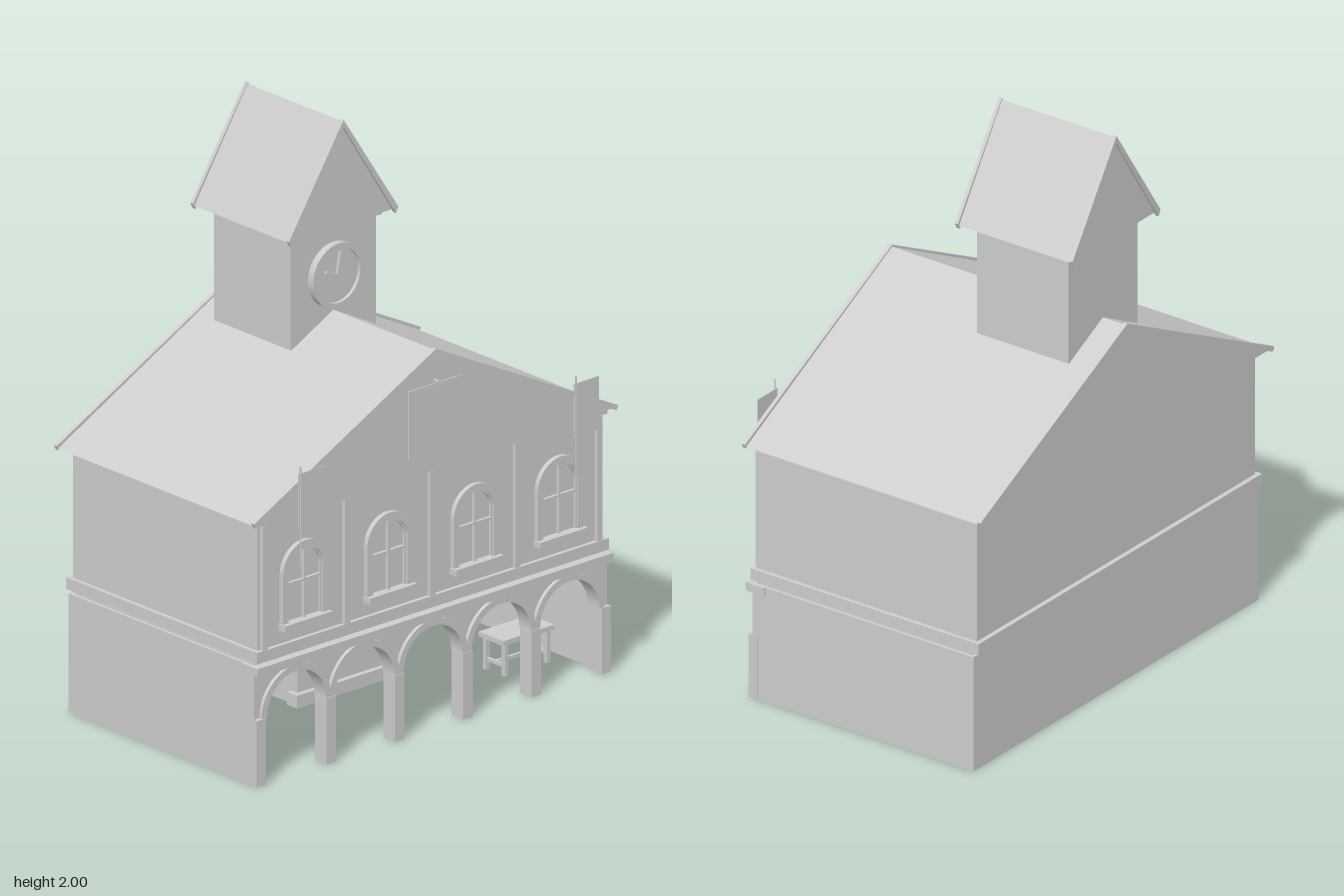
import * as THREE from 'three';

const stone = new THREE.MeshStandardMaterial({ color: 0xcccccc, side: THREE.DoubleSide });
stone.name = 'plain grey stone';

export function createModel() {
  const model = new THREE.Group();
  model.name = 'townHall';

  const add = (name, geometry, parent = model) => {
    const mesh = new THREE.Mesh(geometry, stone);
    mesh.name = name;
    parent.add(mesh);
    return mesh;
  };
  // Box given by its limits on each axis
  const box = (name, x0, x1, y0, y1, z0, z1, parent = model) => {
    const mesh = add(name, new THREE.BoxGeometry(x1 - x0, y1 - y0, z1 - z0), parent);
    mesh.position.set((x0 + x1) / 2, (y0 + y1) / 2, (z0 + z1) / 2);
    return mesh;
  };
  const polygon = (points) => new THREE.Shape(points.map(([x, y]) => new THREE.Vector2(x, y)));
  // Flat shape pushed from z0 to z1
  const slab = (name, shape, z0, z1, parent = model) => {
    const geometry = new THREE.ExtrudeGeometry(shape, { depth: z1 - z0, bevelEnabled: false, curveSegments: 20 });
    geometry.translate(0, 0, z0);
    return add(name, geometry, parent);
  };
  // Upside-down U band: legs down to bottom, half ring at the spring line
  const archBand = (cx, spring, bottom, outer, inner) => {
    const s = new THREE.Shape();
    s.moveTo(cx + outer, bottom);
    s.lineTo(cx + outer, spring);
    s.absarc(cx, spring, outer, 0, Math.PI, false);
    s.lineTo(cx - outer, bottom);
    s.lineTo(cx - inner, bottom);
    s.lineTo(cx - inner, spring);
    s.absarc(cx, spring, inner, Math.PI, 0, true);
    s.lineTo(cx + inner, bottom);
    s.closePath();
    return s;
  };
  // Solid gable roof, and the thin raised trim along its slopes
  const gable = (half, eave, ridge) => polygon([[-half, eave], [half, eave], [0, ridge]]);
  const roofTrim = (half, eave, ridge, drop) => polygon([
    [0, ridge], [-half, eave], [-half + drop * 0.4, eave - drop * 0.8],
    [0, ridge - drop], [half - drop * 0.4, eave - drop * 0.8], [half, eave],
  ]);

  // Ground floor: three walls, ceiling and the room in the middle
  for (const s of [-1, 1]) box('groundSideWall', s * 0.766 - 0.01, s * 0.766 + 0.01, 0, 0.415, -0.445, 0.437);
  box('groundBackWall', -0.776, 0.776, 0, 0.415, -0.445, -0.425);
  box('ceiling', -0.765, 0.765, 0.385, 0.42, -0.43, 0.44);
  box('entranceRoom', -0.185, 0.185, 0, 0.39, -0.43, 0.01);
  box('entranceStep', -0.17, 0.17, 0, 0.045, 0, 0.03);
  for (const s of [-1, 1]) {
    box('entrancePlinth', s * 0.187 - 0.017, s * 0.187 + 0.017, 0, 0.045, -0.02, 0.03);
  }

  // Arcade: wall above five round arches
  const arcade = new THREE.Shape();
  arcade.moveTo(-0.776, 0.23);
  for (let i = -2; i <= 2; i++) {
    arcade.lineTo(i * 0.3 - 0.13, 0.23);
    arcade.absarc(i * 0.3, 0.23, 0.13, Math.PI, 0, true);
  }
  arcade.lineTo(0.776, 0.23);
  arcade.lineTo(0.776, 0.39);
  arcade.lineTo(-0.776, 0.39);
  arcade.closePath();
  slab('arcade', arcade, 0.405, 0.45);
  for (let i = -2; i <= 2; i++) {
    slab('archMoulding', archBand(i * 0.3, 0.23, 0.23, 0.153, 0.13), 0.44, 0.463);
  }
  for (let i = -1.5; i <= 1.5; i++) box('pier', i * 0.3 - 0.021, i * 0.3 + 0.021, 0, 0.23, 0.41, 0.466);
  for (const s of [-1, 1]) box('endPier', s * 0.758 - 0.02, s * 0.758 + 0.02, 0, 0.23, 0.43, 0.466);
  box('arcadeLedge', -0.782, 0.782, 0.385, 0.415, 0.4, 0.475);

  // Bench inside the last arch
  const bench = new THREE.Group();
  bench.name = 'bench';
  model.add(bench);
  box('benchTop', 0.475, 0.7, 0.113, 0.13, 0.16, 0.28, bench);
  for (const x of [0.495, 0.68]) {
    for (const z of [0.175, 0.265]) box('benchLeg', x - 0.008, x + 0.008, 0, 0.113, z - 0.008, z + 0.008, bench);
    box('benchEndRail', x - 0.005, x + 0.005, 0.03, 0.042, 0.175, 0.265, bench);
  }
  box('benchRail', 0.495, 0.68, 0.03, 0.042, 0.215, 0.225, bench);

  // Upper floor
  box('upperFloor', -0.757, 0.757, 0.42, 0.915, -0.445, 0.447);
  box('floorBand', -0.772, 0.772, 0.425, 0.465, -0.462, 0.462);
  box('cornice', -0.768, 0.768, 0.9, 0.915, -0.458, 0.46);

  // Pilasters
  for (const x of [-0.735, -0.375, 0, 0.375, 0.735]) {
    box('pilaster', x - 0.011, x + 0.011, 0.465, 0.9, 0.445, 0.461);
  }

  // Arched windows
  for (const x of [-0.56, -0.19, 0.19, 0.56]) {
    const win = new THREE.Group();
    win.name = 'window';
    model.add(win);
    slab('windowOuterFrame', archBand(x, 0.705, 0.535, 0.1, 0.076), 0.445, 0.464, win);
    slab('windowInnerFrame', archBand(x, 0.705, 0.535, 0.079, 0.07), 0.445, 0.457, win);
    box('windowSill', x - 0.104, x + 0.104, 0.513, 0.535, 0.445, 0.48, win);
    box('windowUpright', x - 0.004, x + 0.004, 0.535, 0.775, 0.445, 0.458, win);
    box('windowCrossbar', x - 0.072, x + 0.072, 0.663, 0.671, 0.445, 0.458, win);
  }

  // Main roof with flush gables and raised trim on both ends
  slab('mainRoof', gable(0.795, 0.915, 1.324), -0.48, 0.467);
  for (const z of [-0.491, 0.463]) slab('mainRoofTrim', roofTrim(0.8, 0.925, 1.33, 0.02), z, z + 0.014);

  // Panel on the front gable with its small peg
  box('gablePanel', -0.12, 0.12, 0.97, 1.21, 0.473, 0.477);
  box('gablePeg', -0.003, 0.003, 1.217, 1.223, 0.465, 0.492);

  // Flags on poles
  for (const x of [-0.605, 0.605]) {
    const pole = add('flagPole', new THREE.CylinderGeometry(0.003, 0.003, 0.35, 8));
    pole.position.set(x, 0.905, 0.488);
    box('flag', x, x + 0.108, 0.863, 1.05, 0.476, 0.479);
  }

  // Clock tower
  box('tower', -0.187, 0.187, 1.23, 1.62, -0.392, -0.02);
  box('towerCornice', -0.2, 0.2, 1.61, 1.63, -0.405, -0.005);
  slab('towerRoof', gable(0.234, 1.628, 1.993), -0.435, 0.02);
  for (const z of [-0.447, 0.017]) slab('towerRoofTrim', roofTrim(0.24, 1.636, 2, 0.026), z, z + 0.013);

  // Clock
  const clock = new THREE.Group();
  clock.name = 'clock';
  clock.position.set(0, 1.45, -0.02);
  model.add(clock);
  const face = add('clockFace', new THREE.CylinderGeometry(0.1, 0.1, 0.014, 40), clock);
  face.rotation.x = Math.PI / 2;
  face.position.z = 0.007;
  const rim = new THREE.Shape();
  rim.absarc(0, 0, 0.112, 0, Math.PI * 2);
  rim.holes.push(new THREE.Path().absarc(0, 0, 0.095, 0, Math.PI * 2, true));
  slab('clockRim', rim, 0, 0.026, clock);
  for (const [name, length, angle] of [['minuteHand', 0.08, -0.17], ['hourHand', 0.055, 1.15]]) {
    const hand = new THREE.BoxGeometry(0.007, length, 0.01);
    hand.translate(0, length / 2, 0.019);
    add(name, hand, clock).rotation.z = angle;
  }

  return model;
}
